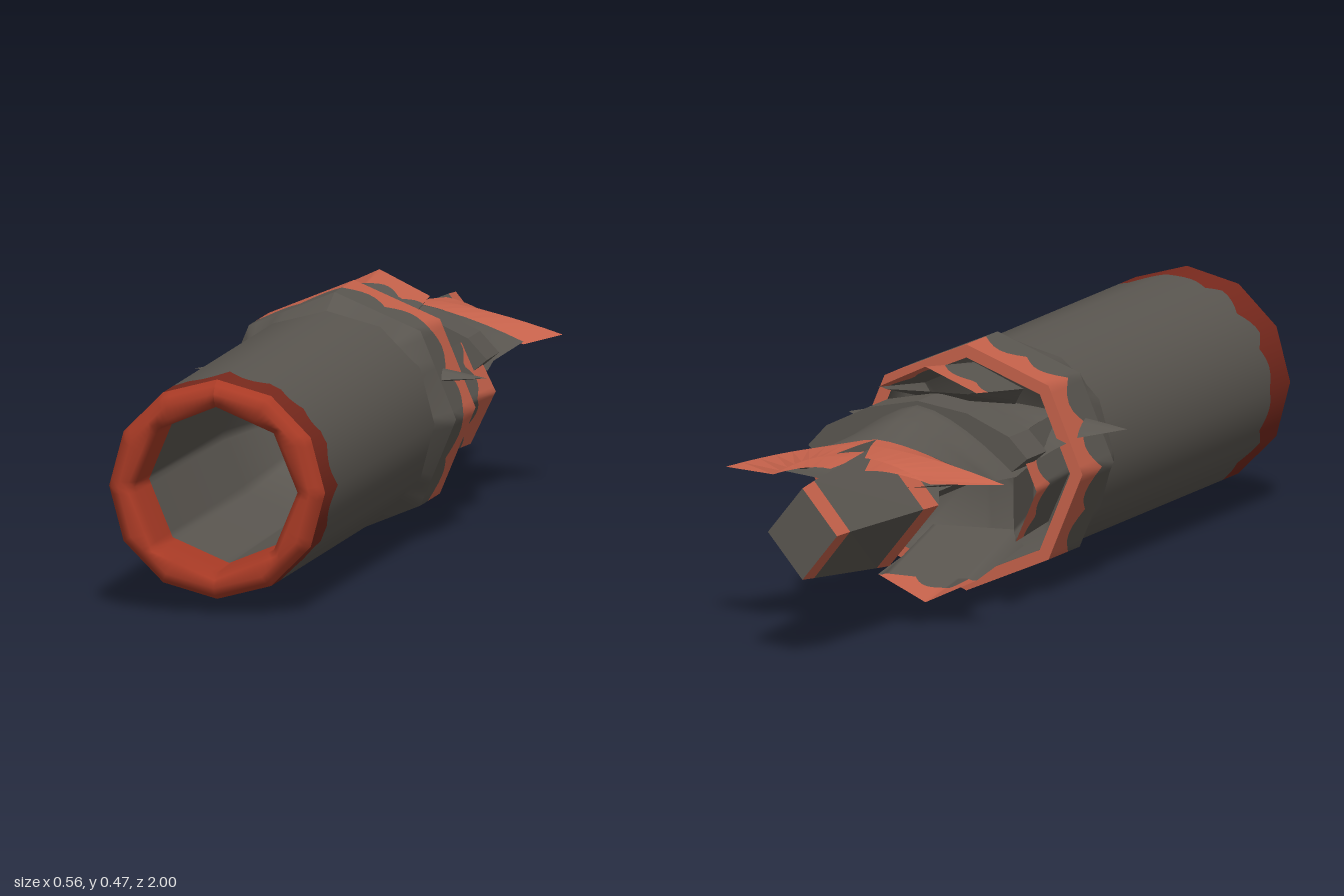
import * as THREE from 'three';

const CY = 0.237; // height of the barrel axis
const mat = (name, color) => {
  const m = new THREE.MeshStandardMaterial({ color, side: THREE.DoubleSide });
  m.name = name;
  return m;
};

export function createModel() {
  const group = new THREE.Group();
  const grey = mat('charcoal grey', 0x5a5650);
  const darkRed = mat('dark red', 0x78291d);
  const red = mat('red', 0xa83a25);
  const coral = mat('coral', 0xc4614a);

  // surface f(u, v) -> [x, y, z], u and v from 0 to 1
  function grid(name, material, nu, nv, f, { radial = false, flat = false } = {}) {
    const pos = [], idx = [], nor = [];
    for (let j = 0; j <= nv; j++) for (let i = 0; i <= nu; i++) {
      const p = f(i / nu, j / nv);
      pos.push(...p);
      const l = Math.hypot(p[0], p[1] - CY) || 1;
      nor.push(p[0] / l, (p[1] - CY) / l, 0);
    }
    for (let j = 0; j < nv; j++) for (let i = 0; i < nu; i++) {
      const a = j * (nu + 1) + i, b = a + nu + 1;
      idx.push(a, b, a + 1, a + 1, b, b + 1);
    }
    let g = new THREE.BufferGeometry();
    g.setAttribute('position', new THREE.Float32BufferAttribute(pos, 3));
    g.setIndex(idx);
    if (radial) g.setAttribute('normal', new THREE.Float32BufferAttribute(nor, 3));
    else {
      if (flat) g = g.toNonIndexed();
      g.computeVertexNormals();
    }
    const mesh = new THREE.Mesh(g, material);
    mesh.name = name;
    group.add(mesh);
  }

  // radius of an n-sided polygon with a corner at angle 0
  const polyR = (a, n, r) => {
    const s = (2 * Math.PI) / n;
    return (r * Math.cos(s / 2)) / Math.cos((a % s) - s / 2);
  };

  // polygonal rings joined along z; each row is [z or z(angle), radius, sides]
  const rings = (name, material, rows, opt) =>
    grid(name, material, 96, rows.length - 1, (u, v) => {
      const a = u * 2 * Math.PI;
      const [z, r, n] = rows[Math.round(v * (rows.length - 1))];
      const R = polyR(a, n, r);
      return [R * Math.sin(a), CY + R * Math.cos(a), typeof z === 'function' ? z(a) : z];
    }, opt);

  // linear interpolation in a list of [key, value, ...]
  const lerpRow = (rows, t) => {
    const f = Math.min(t * (rows.length - 1), rows.length - 1 - 1e-6), i = Math.floor(f);
    return rows[i].map((x, k) => x + (rows[i + 1][k] - x) * (f - i));
  };

  // barrel with scalloped painted muzzle
  const muzzleEdge = a => 0.865 + 0.025 * Math.abs(Math.sin(a * 8));
  rings('barrel', grey, [[0.03, 0.209, 12], [muzzleEdge, 0.209, 12]], { radial: true });
  rings('muzzleBand', darkRed, [[muzzleEdge, 0.209, 12], [0.97, 0.209, 12]], { radial: true });
  rings('muzzleLip', red, [[0.97, 0.209, 12], [0.99, 0.2, 12], [1, 0.185, 12], [0.995, 0.17, 8],
    [0.98, 0.158, 8], [0.87, 0.155, 8]]);
  rings('bore', grey, [[0.87, 0.155, 8], [0.3, 0.148, 8], [0.15, 0.12, 8], [0.08, 0.07, 8], [0.06, 0, 8]]);

  // octagonal collar
  const collarEdge = a => -0.06 - 0.04 * Math.abs(Math.sin(a * 8));
  rings('collarTaper', grey, [[0, 0.235, 8], [0.07, 0.208, 12]]);
  rings('collar', grey, [[collarEdge, 0.235, 8], [0, 0.235, 8]]);
  rings('collarBand', coral, [[-0.16, 0.235, 8], [collarEdge, 0.235, 8]]);
  rings('collarRim', coral, [[-0.16, 0.21, 8], [-0.16, 0.235, 8]]);
  rings('collarBack', grey, [[-0.05, 0, 8], [-0.05, 0.21, 8], [-0.16, 0.21, 8]]);

  // four folded wedge flaps behind the collar, tips painted
  for (let k = 0; k < 4; k++) {
    const q = (k * Math.PI) / 2;
    const flap = (name, m, z0, z1, under) => grid(name, m, 24, 1, (u, v) => {
      const s = u * 2 - 1, z = v ? z1(s) : z0(s), t = (-0.12 - z) / 0.25;
      const outer = 0.195 + 0.03 * t - 0.045 * Math.abs(s);
      const inner = 0.12 + 0.058 * t;
      const r = under ? outer + (inner - outer) * Math.min(1, (1 - Math.abs(s)) * 6) : outer;
      const x = s * 0.1;
      return [x * Math.cos(q) + r * Math.sin(q), CY + r * Math.cos(q) - x * Math.sin(q), z];
    });
    const base = () => -0.12;
    const edge = s => -0.27 - 0.035 * Math.abs(Math.sin(s * 5));
    const tip = s => -0.37 + 0.01 * Math.abs(s);
    flap('flap', grey, edge, base, false);
    flap('flapTip', coral, tip, edge, false);
    flap('flapUnderside', grey, tip, base, true);
  }

  // saddle: arched shell flaring at the front into two spikes
  // rows: z, half width, ridge height, edge height
  const saddleRows = [
    [-0.62, 0.22, 0.36, 0.295], [-0.5, 0.19, 0.385, 0.275], [-0.41, 0.2, 0.395, 0.27],
    [-0.3, 0.19, 0.365, 0.28], [-0.2, 0.195, 0.355, 0.29], [-0.12, 0.21, 0.35, 0.3],
    [-0.05, 0.282, 0.35, 0.31], [0, 0.19, 0.35, 0.31],
  ];
  for (const under of [0, 1]) {
    grid(under ? 'saddleUnderside' : 'saddle', grey, 12, 28, (u, v) => {
      const s = u * 2 - 1, [z, w, h, e] = lerpRow(saddleRows, v);
      const y = under ? e - 0.03 * (1 - Math.abs(s)) : e + (h - e) * (1 - Math.abs(s) ** 1.5);
      return [s * w, y, z];
    });
  }

  // arched band across the saddle
  const arch = new THREE.Shape();
  [[-0.18, 0.27], [0.18, 0.27], [0.222, 0.305], [0.185, 0.345], [0.1, 0.385], [0, 0.403],
    [-0.1, 0.385], [-0.185, 0.345], [-0.222, 0.305]]
    .forEach(([x, y], i) => (i ? arch.lineTo(x, y) : arch.moveTo(x, y)));
  const bandGeo = new THREE.ExtrudeGeometry(arch, { depth: 0.1, bevelEnabled: false });
  const band = new THREE.Mesh(bandGeo, grey);
  band.name = 'saddleBand';
  band.position.z = -0.41;
  group.add(band);

  // painted rear wings with a notch between them
  // rows: z at inside, x inside, y inside, z outside, x outside, y outside
  const wingRows = [
    [-0.77, 0.035, 0.352, -0.745, 0.16, 0.305],
    [-0.68, 0.012, 0.36, -0.68, 0.282, 0.302],
    [-0.62, 0, 0.362, -0.62, 0.22, 0.29],
  ];
  for (const side of [1, -1]) for (const under of [0, 1]) {
    grid(under ? 'wingUnderside' : 'wing', coral, 8, 2, (u, v) => {
      const [z0, x0, y0, z1, x1, y1] = wingRows[Math.round(v * 2)];
      const s = side > 0 ? u : 1 - u;
      const y = y0 + (y1 - y0) * s ** 1.5 - under * 0.025 * (1 - s);
      return [side * (x0 + (x1 - x0) * s), y, z0 + (z1 - z0) * s];
    }, { flat: true });
  }

  // diamond section along z; rows: z, half width, bottom, top
  const diamond = (name, material, rows) =>
    grid(name, material, 4, rows.length - 1, (u, v) => {
      const [z, w, b, t] = rows[Math.round(v * (rows.length - 1))];
      return [[0, t], [w, (b + t) / 2], [0, b], [-w, (b + t) / 2], [0, t]][Math.round(u * 4)].concat(z);
    }, { flat: true });

  // rear grip with painted tip and heel
  diamond('gripEnd', grey, [[-1, 0, 0.24, 0.24], [-1, 0.07, 0.153, 0.328]]);
  diamond('gripTip', coral, [[-1, 0.07, 0.153, 0.328], [-0.94, 0.073, 0.147, 0.333]]);
  diamond('grip', grey, [[-0.94, 0.073, 0.147, 0.333], [-0.62, 0.095, 0.116, 0.352]]);
  diamond('gripHeel', coral, [[-0.62, 0.095, 0.116, 0.352], [-0.555, 0.1, 0.11, 0.355]]);
  diamond('gripNeck', grey, [[-0.555, 0.1, 0.11, 0.355], [-0.5, 0.08, 0.205, 0.355], [-0.5, 0, 0.28, 0.28]]);

  // link rod from the collar to the grip
  diamond('linkRod', grey, [[-0.54, 0.04, 0.203, 0.26], [-0.05, 0.04, 0.203, 0.26]]);

  return group;
}
